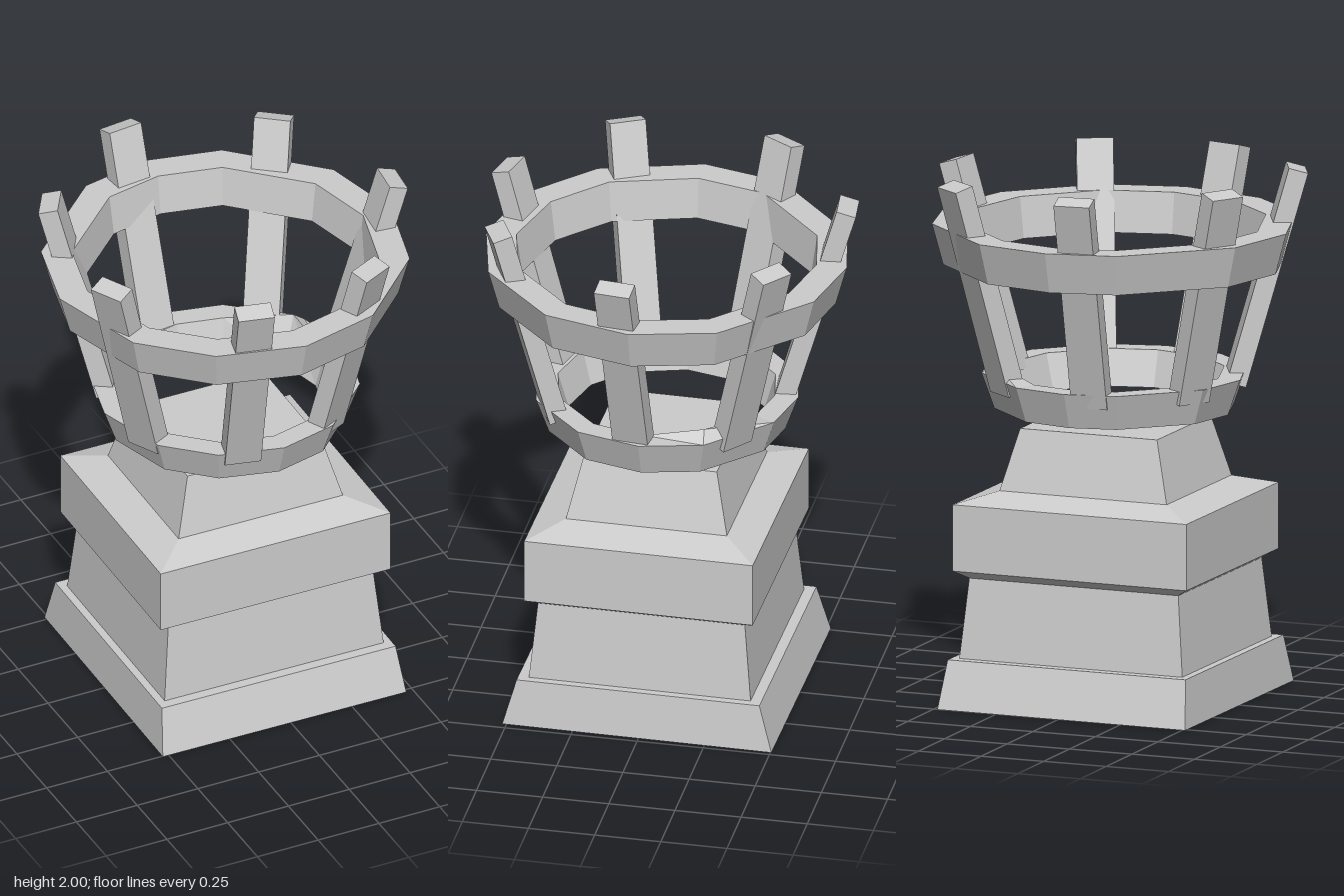
import * as THREE from 'three';

const stone = new THREE.MeshStandardMaterial({ color: 0xcccccc, flatShading: true });
stone.name = 'paleGrey';
const CX = -0.02;

// Skin a list of loops (each clockwise from above, ordered outside-up)
function loft(name, loops, wrap) {
  const pos = [];
  const last = wrap ? loops.length : loops.length - 1;
  for (let k = 0; k < last; k++) {
    const lo = loops[k], hi = loops[(k + 1) % loops.length];
    lo.forEach((a, i) => {
      const j = (i + 1) % lo.length;
      pos.push(...a, ...hi[i], ...hi[j], ...a, ...hi[j], ...lo[j]);
    });
  }
  const geo = new THREE.BufferGeometry();
  geo.setAttribute('position', new THREE.Float32BufferAttribute(pos, 3));
  geo.computeVertexNormals();
  const mesh = new THREE.Mesh(geo, stone);
  mesh.name = name;
  return mesh;
}

// Rectangular block from a profile of [y, half width, half depth], capped at both ends
function block(name, profile) {
  const rows = [[profile[0][0], 0, 0], ...profile, [profile.at(-1)[0], 0, 0]];
  return loft(name, rows.map(([y, w, d]) => [[-w, y, -d], [w, y, -d], [w, y, d], [-w, y, d]]), false);
}

// Slightly uneven hoop; section is [radius, y] around outer bottom, outer top, inner top, inner bottom
const hoopAngles = [0, 25, 62, 90, 119, 153, 180, 209, 236, 270, 297, 337];
function hoop(name, section, raised) {
  const loops = section.map(([r, y]) => hoopAngles.map((deg) => {
    const a = THREE.MathUtils.degToRad(deg);
    return [r * Math.sin(a), y, -r * Math.cos(a)];
  }));
  if (raised) loops[2][2] = raised; // one inner corner is bent upwards
  const mesh = loft(name, loops, true);
  mesh.position.x = CX;
  return mesh;
}

// Leaning post: inner bottom point, top centre and top height
function post([bx, bz, tx, tz, topY]) {
  const width = 0.137, thick = 0.074;
  const up = new THREE.Vector3(0, 1, 0);
  const out = new THREE.Vector3(tx - bx, 0, tz - bz).normalize();
  const bottom = new THREE.Vector3(bx, 1.18, bz).addScaledVector(out, thick / 2);
  const top = new THREE.Vector3(tx, topY - 0.012, tz);
  const axis = top.clone().sub(bottom);
  const length = axis.length();
  axis.normalize();
  const side = new THREE.Vector3().crossVectors(up, out);
  const face = new THREE.Vector3().crossVectors(side, axis);
  const mesh = new THREE.Mesh(new THREE.BoxGeometry(width, length, thick), stone);
  mesh.quaternion.setFromRotationMatrix(new THREE.Matrix4().makeBasis(side, axis, face));
  mesh.position.copy(bottom).add(top).multiplyScalar(0.5);
  mesh.name = 'post';
  return mesh;
}

export function createModel() {
  const model = new THREE.Group();
  model.name = 'brazier';

  // Stepped stone pedestal, turned very slightly
  const pedestal = new THREE.Group();
  pedestal.name = 'pedestal';
  pedestal.add(
    block('foot', [[0, 0.498, 0.51], [0.18, 0.478, 0.46]]),
    block('shaft', [[0.18, 0.448, 0.42], [0.48, 0.42, 0.392]]),
    block('band', [[0.48, 0.42, 0.392], [0.51, 0.47, 0.433], [0.76, 0.47, 0.433], [0.8, 0.336, 0.305]]),
    block('neck', [[0.8, 0.336, 0.305], [1.03, 0.275, 0.253]]),
  );
  pedestal.position.x = CX;
  pedestal.rotation.y = -0.012;
  model.add(pedestal);

  // Basket hoops
  model.add(
    hoop('lowerHoop', [[0.45, 1.09], [0.498, 1.225], [0.41, 1.225], [0.37, 1.09]], [0.39, 1.265, -0.225]),
    hoop('upperHoop', [[0.64, 1.635], [0.682, 1.79], [0.567, 1.79], [0.545, 1.635]]),
  );

  // Seven posts
  const posts = new THREE.Group();
  posts.name = 'posts';
  [
    [-0.098, -0.39, -0.128, -0.663, 2.0],
    [0.26, -0.28, 0.42, -0.49, 1.985],
    [0.365, 0.028, 0.64, 0.056, 1.975],
    [0.19, 0.34, 0.3, 0.567, 1.98],
    [-0.15, 0.378, -0.213, 0.64, 1.985],
    [-0.39, 0.163, -0.628, 0.285, 1.995],
    [-0.369, -0.193, -0.583, -0.326, 2.0],
  ].forEach((p) => posts.add(post(p)));
  model.add(posts);

  return model;
}
